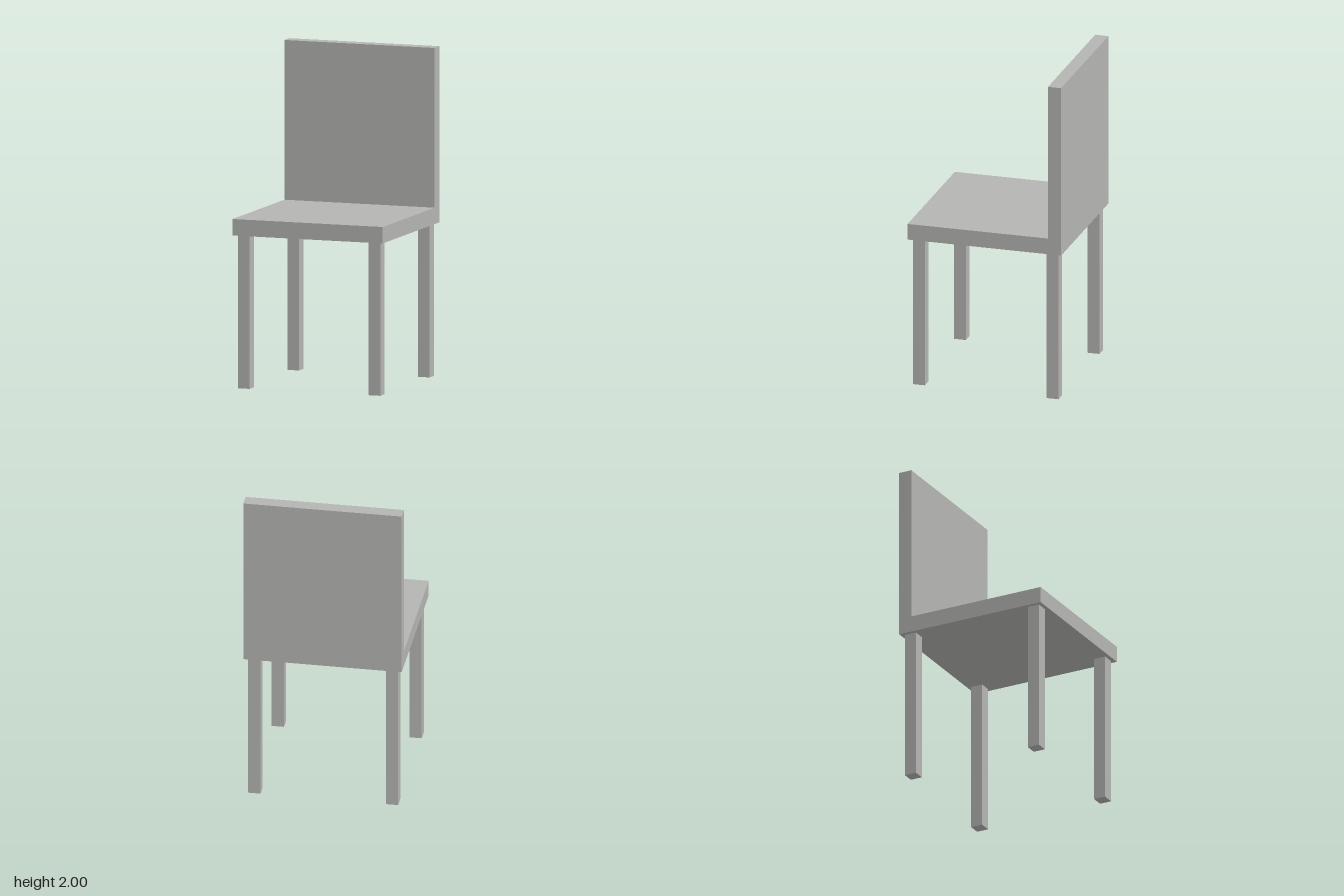
import * as THREE from 'three';

const WIDTH = 0.966;
const SEAT_BOTTOM = 0.93;
const SEAT_TOP = 1.03;

export function createModel() {
  const chair = new THREE.Group();
  chair.name = 'chair';
  const grey = new THREE.MeshStandardMaterial({ color: 0xb4b4b2 });
  grey.name = 'grey';

  // Seat and backrest: one L-shaped side profile (z, y) extruded across the width
  const half = WIDTH / 2;
  const profile = new THREE.Shape([
    [-half, SEAT_BOTTOM], [half, SEAT_BOTTOM], [half, SEAT_TOP],
    [-0.4, SEAT_TOP], [-0.4, 2], [-half, 2],
  ].map(([z, y]) => new THREE.Vector2(z, y)));
  const body = new THREE.ExtrudeGeometry(profile, { depth: WIDTH, bevelEnabled: false });
  body.rotateY(-Math.PI / 2).translate(half, 0, 0);
  const seatAndBack = new THREE.Mesh(body, grey);
  seatAndBack.name = 'seatAndBackrest';
  chair.add(seatAndBack);

  // Four square legs
  const legGeometry = new THREE.BoxGeometry(0.075, SEAT_BOTTOM, 0.075);
  for (const [end, z] of [['front', 0.42], ['back', -0.42]]) {
    for (const [side, x] of [['Left', 0.42], ['Right', -0.42]]) {
      const leg = new THREE.Mesh(legGeometry, grey);
      leg.name = `${end}${side}Leg`;
      leg.position.set(x, SEAT_BOTTOM / 2, z);
      chair.add(leg);
    }
  }
  return chair;
}
